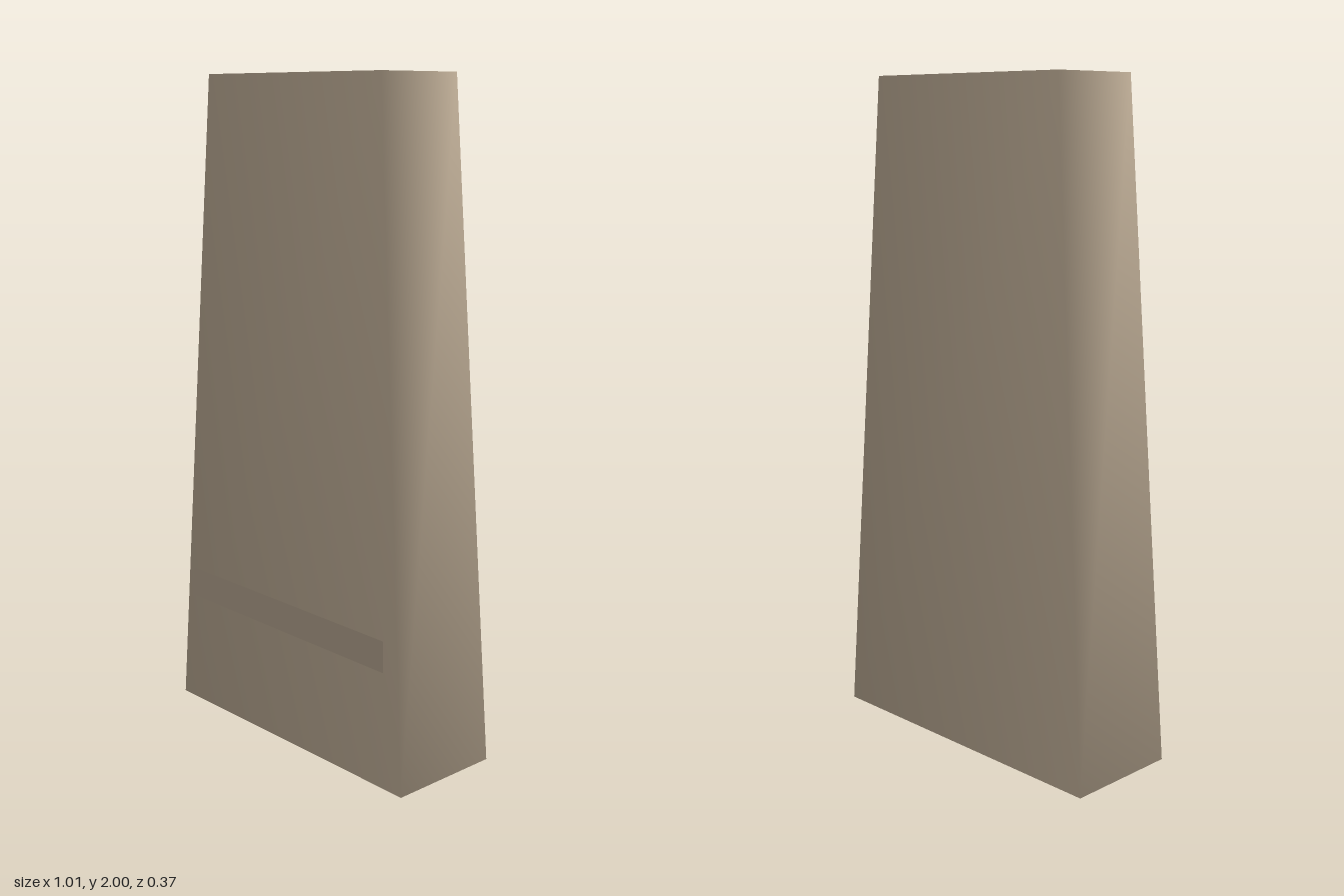
import * as THREE from 'three';
import { mergeVertices } from 'three/addons/utils/BufferGeometryUtils.js';

const HEIGHT = 2;
const BASE = { width: 1.014, depth: 0.361 };
const TOP = { width: 0.734, depth: 0.291 };
const Z_SHIFT = -0.004; // body sits slightly back, the strip floats in front

// Box narrowing towards the top, with corners shared so it shades smoothly
function taperedBlock() {
  const box = new THREE.BoxGeometry(1, 1, 1);
  const p = box.attributes.position;
  for (let i = 0; i < p.count; i++) {
    const ring = p.getY(i) > 0 ? TOP : BASE;
    p.setXYZ(i, p.getX(i) * ring.width, (p.getY(i) + 0.5) * HEIGHT, p.getZ(i) * ring.depth + Z_SHIFT);
  }
  box.deleteAttribute('normal');
  box.deleteAttribute('uv');
  const smooth = mergeVertices(box);
  smooth.clearGroups();
  smooth.computeVertexNormals();
  return smooth;
}

export function createModel() {
  const group = new THREE.Group();
  group.name = 'taperedPillar';
  const material = new THREE.MeshStandardMaterial({ color: 0xc8b69e, side: THREE.DoubleSide });

  // Tapered slab body
  const body = new THREE.Mesh(taperedBlock(), material);
  body.name = 'body';
  group.add(body);

  // Thin flat strip just in front of the lower front face
  const strip = new THREE.Mesh(new THREE.PlaneGeometry(0.874, 0.094), material);
  strip.name = 'frontStrip';
  strip.position.set(0, 0.403, 0.184);
  group.add(strip);

  return group;
}
